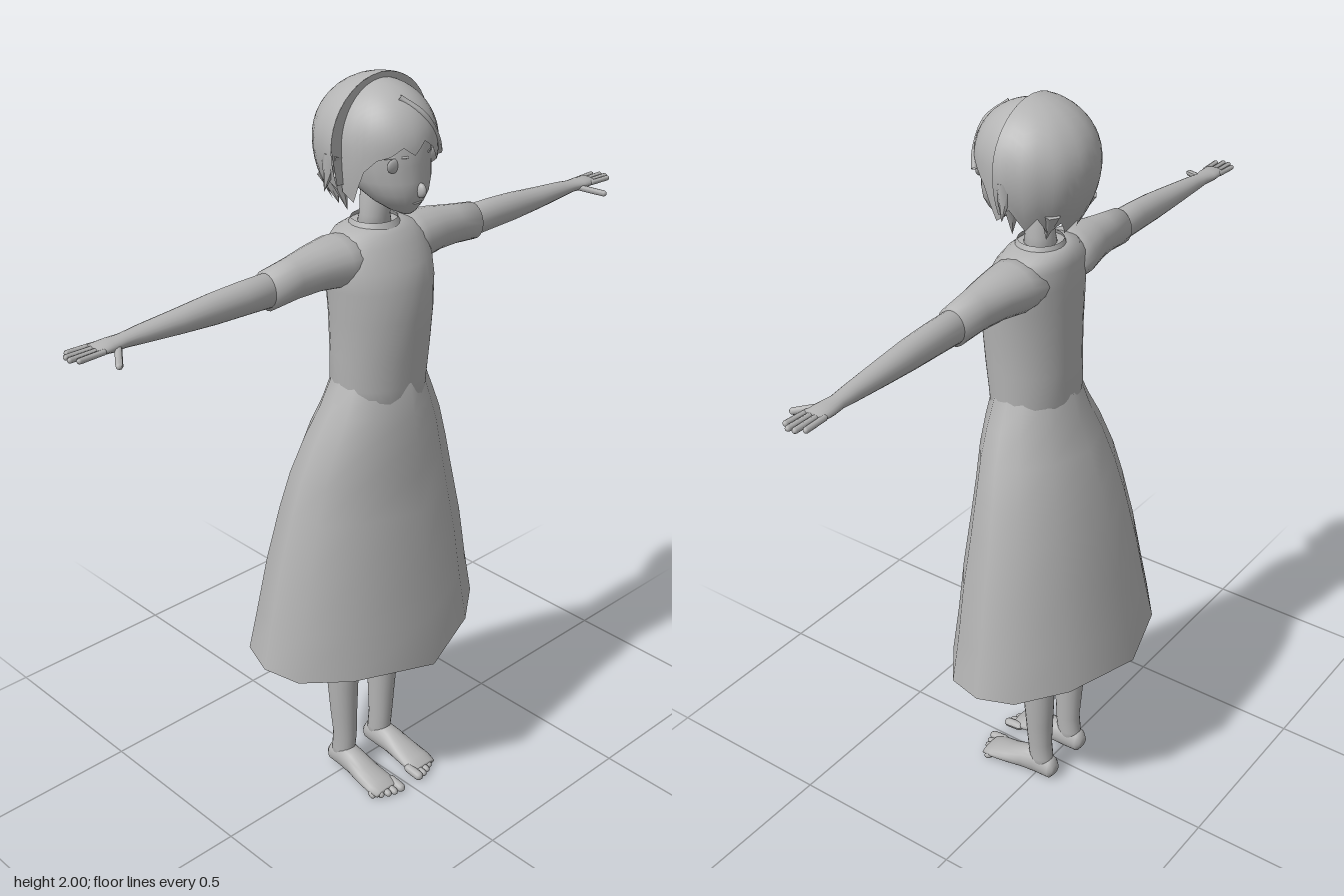
import * as THREE from 'three';

const grey = new THREE.MeshStandardMaterial({ color: 0xb4b4b4, side: THREE.DoubleSide });
grey.name = 'plain grey';

// Round unit cross-section, and the wider pointed one of the skirt (both start at +z and turn to +x)
const round = (n) => Array.from({ length: n }, (_, i) => {
  const a = (i / n) * Math.PI * 2;
  return [Math.sin(a), Math.cos(a)];
});
const skirtHalf = [[0, 1], [0.6, 0.68], [0.92, 0.35], [1, -0.03], [0.91, -0.4], [0.57, -0.75], [0, -1]];
const skirtProfile = [...skirtHalf, ...skirtHalf.slice(1, 6).reverse().map(([x, z]) => [-x, z])];

// Skin through rings [along, centreU, centreW, radiusU, radiusW] placed along one axis
function loft(rings, axis = 'y', profile = round(20), caps = true) {
  const pos = [], idx = [], n = profile.length;
  const put = (v, u, w) => pos.push(...(axis === 'y' ? [u, v, w] : axis === 'x' ? [v, w, u] : [w, u, v]));
  for (const [v, cu, cw, ru, rw] of rings) for (const [p, q] of profile) put(v, cu + ru * p, cw + rw * q);
  for (let i = 0; i < rings.length - 1; i++) for (let j = 0; j < n; j++) {
    const a = i * n + j, b = i * n + (j + 1) % n;
    idx.push(a, b, b + n, a, b + n, a + n);
  }
  if (caps) {
    const first = rings[0], last = rings[rings.length - 1], c = rings.length * n;
    put(first[0], first[1], first[2]);
    put(last[0], last[1], last[2]);
    for (let j = 0; j < n; j++) {
      const k = (j + 1) % n;
      idx.push(c, k, j, c + 1, c - n + j, c - n + k);
    }
  }
  const g = new THREE.BufferGeometry();
  g.setAttribute('position', new THREE.Float32BufferAttribute(pos, 3));
  g.setIndex(idx);
  g.computeVertexNormals();
  return g;
}

// Rounded rod between two points
function rod(a, b, r) {
  const p = new THREE.Vector3(...a), q = new THREE.Vector3(...b), d = q.clone().sub(p);
  const g = new THREE.CapsuleGeometry(r, d.length(), 4, 8);
  g.applyQuaternion(new THREE.Quaternion().setFromUnitVectors(new THREE.Vector3(0, 1, 0), d.normalize()));
  const m = p.add(q).multiplyScalar(0.5);
  return g.translate(m.x, m.y, m.z);
}

// Tapered hair strand from root to tip
function strand(a, b, r) {
  const p = new THREE.Vector3(...a), q = new THREE.Vector3(...b), d = q.clone().sub(p);
  const g = new THREE.ConeGeometry(r, d.length(), 6);
  g.applyQuaternion(new THREE.Quaternion().setFromUnitVectors(new THREE.Vector3(0, 1, 0), d.normalize()));
  const m = p.add(q).multiplyScalar(0.5);
  return g.translate(m.x, m.y, m.z);
}

function ball(x, y, z, rx, ry, rz) {
  return new THREE.SphereGeometry(1, 16, 12).scale(rx, ry, rz).translate(x, y, z);
}

// Copy on the other side of x = 0, with the corner order turned round
function mirrored(geo) {
  const g = geo.clone().scale(-1, 1, 1), ix = g.index.array;
  for (let i = 0; i < ix.length; i += 3) [ix[i], ix[i + 1]] = [ix[i + 1], ix[i]];
  g.computeVertexNormals();
  return g;
}

// Dome radius of the hair at a height: round above the middle, drawn in below
const middle = 1.85;
const domeRadius = (y, top, taper) => y > middle
  ? Math.sqrt(Math.max(0, 1 - ((y - middle) / (top - middle)) ** 2))
  : 1 - taper * ((middle - y) / 0.15) ** 2;

// Half dome of hair whose lower edge follows the list of tip heights
function hairShell(rx, rz, z0, top, taper, tips) {
  const pos = [], idx = [], rows = 14, cols = (tips.length - 1) * 2;
  for (let i = 0; i <= rows; i++) for (let j = 0; j <= cols; j++) {
    const a = (j / cols) * Math.PI, k = j / 2, lo = Math.floor(k), hi = Math.ceil(k);
    const bottom = (tips[lo] + tips[hi]) / 2, t = i / rows;
    const y = top - (top - bottom) * (1 - Math.cos(t * Math.PI * 0.5)) ** 0.9;
    const r = domeRadius(y, top, taper);
    pos.push(rx * r * Math.cos(a), y, z0 + rz * r * Math.sin(a));
  }
  const w = cols + 1;
  for (let i = 0; i < rows; i++) for (let j = 0; j < cols; j++) {
    const a = i * w + j, b = a + 1, c = a + w, d = c + 1;
    if (rz > 0) idx.push(a, b, d, a, d, c);
    else idx.push(a, d, b, a, c, d);
  }
  const g = new THREE.BufferGeometry();
  g.setAttribute('position', new THREE.Float32BufferAttribute(pos, 3));
  g.setIndex(idx);
  g.computeVertexNormals();
  return g;
}

export function createModel() {
  const model = new THREE.Group();
  const add = (name, geo) => {
    const m = new THREE.Mesh(geo, grey);
    m.name = name;
    model.add(m);
  };
  const pair = (name, geo) => {
    add(name + 'Left', geo);
    add(name + 'Right', mirrored(geo));
  };

  // Dress: bodice, collar and open skirt with a hem that dips at the front
  add('bodice', loft([
    [1.12, 0, 0.055, 0.12, 0.1], [1.24, 0, 0.05, 0.13, 0.113], [1.32, 0, 0.055, 0.132, 0.117],
    [1.42, 0, 0.058, 0.138, 0.12], [1.5, 0, 0.055, 0.146, 0.117], [1.55, 0, 0.048, 0.15, 0.108],
    [1.6, 0, 0.035, 0.14, 0.092], [1.625, 0, 0.03, 0.112, 0.078], [1.637, 0, 0.03, 0.075, 0.062],
    [1.64, 0, 0.03, 0.05, 0.045]], 'y', round(28)));
  add('collar', loft([[1.61, 0, 0.035, 0.078, 0.072], [1.65, 0, 0.033, 0.058, 0.056]], 'y', round(24), false));
  const skirt = loft([
    [0.475, 0, 0, 0.355, 0.267], [0.6, 0, 0.002, 0.33, 0.245], [0.75, 0, 0.008, 0.302, 0.222],
    [0.9, 0, 0.014, 0.264, 0.195], [1, 0, 0.022, 0.237, 0.174], [1.1, 0, 0.036, 0.2, 0.154],
    [1.17, 0, 0.046, 0.166, 0.134], [1.25, 0, 0.05, 0.13, 0.115]], 'y', skirtProfile, false);
  const sp = skirt.attributes.position;
  for (let i = 0; i < skirtProfile.length; i++) sp.setY(i, 0.475 - 0.06 * sp.getZ(i));
  skirt.computeVertexNormals();
  add('skirt', skirt);

  // Sleeves, arms and hands
  pair('sleeve', loft([
    [0.06, 0.035, 1.566, 0.08, 0.06], [0.13, 0.03, 1.567, 0.074, 0.064], [0.2, 0.032, 1.568, 0.06, 0.056],
    [0.27, 0.034, 1.562, 0.048, 0.051], [0.345, 0.035, 1.553, 0.042, 0.049]], 'x'));
  pair('arm', loft([
    [0.3, 0.035, 1.553, 0.037, 0.043], [0.42, 0.034, 1.554, 0.036, 0.04], [0.5, 0.033, 1.553, 0.034, 0.037],
    [0.6, 0.031, 1.551, 0.03, 0.029], [0.7, 0.028, 1.55, 0.024, 0.021], [0.745, 0.027, 1.549, 0.021, 0.016],
    [0.78, 0.027, 1.549, 0.027, 0.015], [0.82, 0.027, 1.55, 0.029, 0.011]], 'x'));
  [0.868, 0.882, 0.884, 0.872].forEach((tip, i) => {
    const z = 0.004 + i * 0.0155;
    pair('finger', rod([0.81, 1.55, z], [tip, 1.55, z + (i - 1.5) * 0.002], 0.0072));
  });
  pair('thumb', rod([0.765, 1.545, 0.04], [0.805, 1.532, 0.098], 0.0085));

  // Legs, feet and toes
  pair('leg', loft([
    [0.03, 0.07, -0.014, 0.03, 0.038], [0.07, 0.07, -0.012, 0.03, 0.036], [0.12, 0.07, -0.007, 0.031, 0.036],
    [0.2, 0.073, -0.008, 0.036, 0.04], [0.3, 0.076, -0.008, 0.041, 0.046], [0.4, 0.077, -0.004, 0.044, 0.051],
    [0.5, 0.077, 0, 0.045, 0.052], [0.6, 0.075, 0.01, 0.048, 0.055], [0.8, 0.072, 0.03, 0.058, 0.062],
    [1, 0.07, 0.045, 0.062, 0.07]]));
  pair('foot', loft([
    [-0.06, 0.034, 0.07, 0.015, 0.018], [-0.048, 0.036, 0.07, 0.034, 0.028], [0, 0.044, 0.07, 0.042, 0.034],
    [0.04, 0.039, 0.072, 0.037, 0.036], [0.09, 0.028, 0.074, 0.026, 0.042], [0.14, 0.02, 0.074, 0.017, 0.046],
    [0.168, 0.015, 0.073, 0.011, 0.043]], 'z'));
  for (let i = 0; i < 5; i++) {
    const x = 0.036 + i * 0.0185 + (i ? 0.003 : 0), r = i ? 0.0095 : 0.013;
    pair('toe', rod([x, r + 0.004, 0.145], [x, r, 0.184 - i * i * 0.002], r));
  }

  // Neck, head and face
  add('neck', loft([[1.6, 0, 0.032, 0.05, 0.045], [1.66, 0, 0.035, 0.037, 0.038], [1.76, 0, 0.045, 0.04, 0.042]]));
  add('head', loft([
    [1.686, 0, 0.14, 0.014, 0.016], [1.695, 0, 0.124, 0.032, 0.042], [1.715, 0, 0.11, 0.058, 0.068],
    [1.74, 0, 0.095, 0.08, 0.092], [1.77, 0, 0.076, 0.097, 0.112], [1.81, 0, 0.064, 0.106, 0.12],
    [1.86, 0, 0.06, 0.108, 0.122], [1.91, 0, 0.056, 0.098, 0.108], [1.95, 0, 0.052, 0.07, 0.075]], 'y', round(24)));
  add('nose', ball(0, 1.75, 0.188, 0.01, 0.018, 0.016));
  add('mouth', ball(0, 1.718, 0.174, 0.018, 0.004, 0.007));
  pair('eye', ball(0.056, 1.815, 0.162, 0.024, 0.017, 0.006).rotateY(0.02));
  pair('eyelid', rod([0.034, 1.833, 0.176], [0.078, 1.833, 0.146], 0.003));
  pair('ear', ball(0.11, 1.785, 0.04, 0.012, 0.032, 0.022));

  // Back hair with a flat front rim, and a narrower fringe
  add('backHair', hairShell(0.158, -0.165, 0.055, 2, 0.3,
    [1.75, 1.77, 1.71, 1.75, 1.7, 1.73, 1.69, 1.72, 1.69, 1.73, 1.7, 1.75, 1.71, 1.77, 1.75]));
  const rim = [];
  for (let i = 0; i <= 16; i++) {
    const a = (i / 16) * Math.PI;
    rim.push(new THREE.Vector2(0.158 * Math.cos(a), middle + 0.15 * Math.sin(a)));
  }
  rim.push(new THREE.Vector2(-0.14, 1.76), new THREE.Vector2(0.14, 1.76));
  add('hairRim', new THREE.ShapeGeometry(new THREE.Shape(rim)).translate(0, 0, 0.055));
  add('fringe', hairShell(0.126, 0.15, 0.05, 1.987, 0.12,
    [1.74, 1.72, 1.8, 1.83, 1.85, 1.81, 1.85, 1.87, 1.84, 1.86, 1.84, 1.83, 1.8, 1.72, 1.74]));
  add('sweptLock', new THREE.TubeGeometry(new THREE.CatmullRomCurve3([
    [-0.02, 1.96, 0.135], [0.02, 1.92, 0.175], [0.06, 1.86, 0.178], [0.085, 1.82, 0.163]
  ].map((p) => new THREE.Vector3(...p))), 16, 0.008, 6));

  // Loose strands at the sides and nape
  pair('sideFlick', strand([0.135, 1.83, 0.035], [0.158, 1.745, 0.03], 0.026));
  pair('sideStrand', strand([0.118, 1.78, 0.03], [0.098, 1.69, 0.045], 0.024));
  pair('napeStrand', strand([0.075, 1.76, -0.05], [0.06, 1.68, -0.025], 0.026));
  return model;
}
